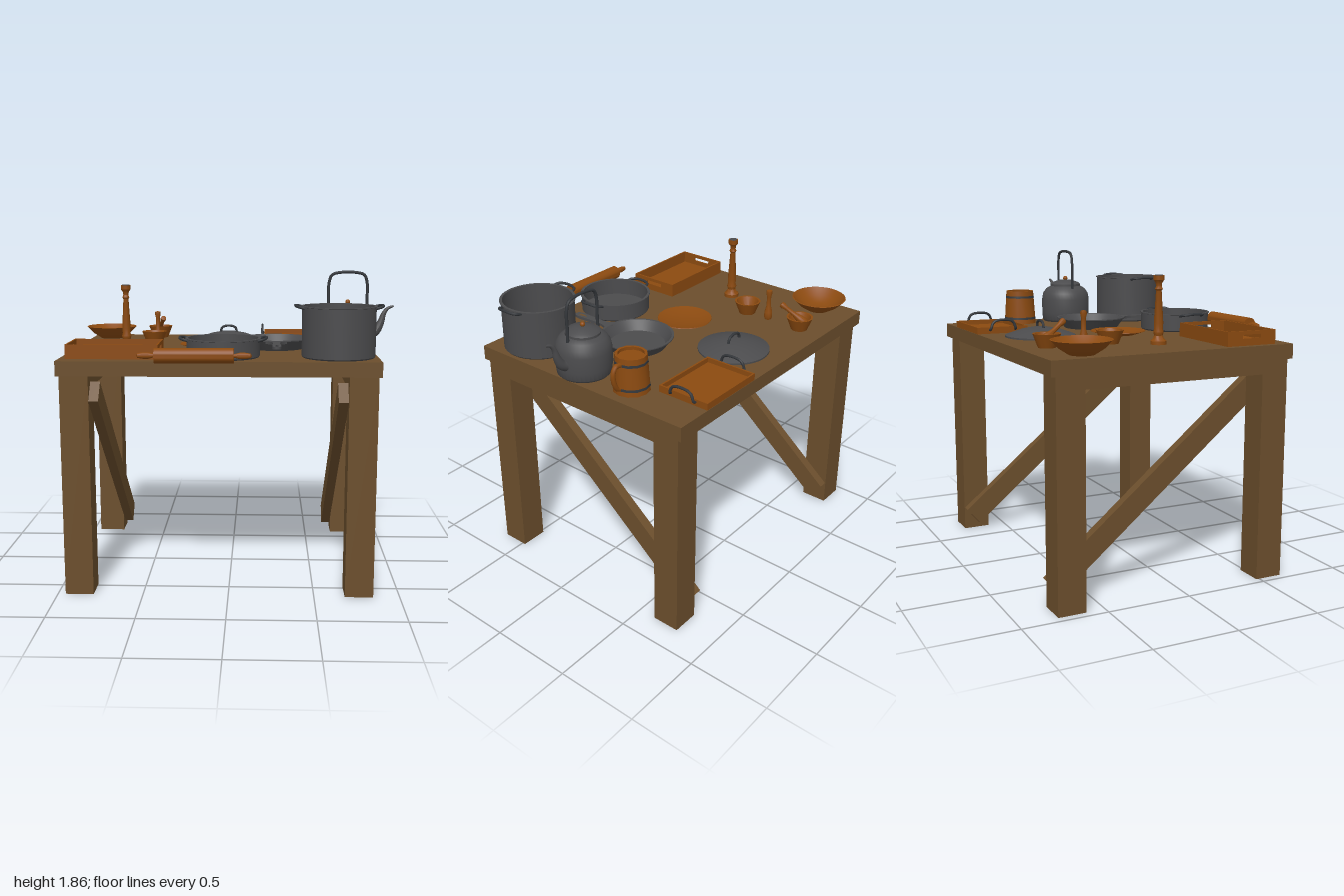
import * as THREE from 'three';
import { toCreasedNormals } from 'three/addons/utils/BufferGeometryUtils.js';

const material = (name, color) => {
  const m = new THREE.MeshStandardMaterial({ color });
  m.name = name;
  return m;
};
const V = (x, y, z) => new THREE.Vector3(x, y, z);

export function createModel() {
  const root = new THREE.Group();
  root.name = 'kitchenTable';
  const timber = material('tableTimber', 0x6b4e2c);
  const orange = material('warmWood', 0x8b4a10);
  const iron = material('castIron', 0x4b4b4d);
  const dark = material('darkMetal', 0x33363a);
  const TOP = 1.38;

  // ---- helpers ----
  const add = (parent, name, geo, mat, x = 0, y = 0, z = 0) => {
    const m = new THREE.Mesh(geo, mat);
    m.name = name;
    m.position.set(x, y, z);
    parent.add(m);
    return m;
  };
  const group = (name, x, z, y = TOP) => {
    const g = new THREE.Group();
    g.name = name;
    g.position.set(x, y, z);
    root.add(g);
    return g;
  };
  const box = (parent, name, mat, [x0, x1], [y0, y1], [z0, z1]) =>
    add(parent, name, new THREE.BoxGeometry(x1 - x0, y1 - y0, z1 - z0), mat,
      (x0 + x1) / 2, (y0 + y1) / 2, (z0 + z1) / 2);
  const lathe = (pts, seg = 40) => toCreasedNormals(
    new THREE.LatheGeometry(pts.map(p => new THREE.Vector2(...p)), seg), 0.6);
  const tube = (pts, r, seg = 32) =>
    new THREE.TubeGeometry(new THREE.CatmullRomCurve3(pts, false, 'centripetal'), seg, r, 8);
  // hollow vessel: base radius, rim radius, height, wall thickness
  const vessel = (rb, rt, h, t) =>
    [[0, 0], [rb, 0], [rt, h], [rt - t, h], [rb - t, t], [0, t]];

  // ---- table ----
  const table = group('table', 0, 0, 0);
  box(table, 'tableTop', timber, [-0.97, 0.86], [1.295, TOP], [-0.805, 0.67]);
  for (const [x0, x1] of [[-0.955, -0.79], [0.68, 0.845]]) {
    box(table, 'frontLeg', timber, [x0, x1], [0, 1.295], [0.48, 0.645]);
    box(table, 'backLeg', timber, [x0, x1], [0, 1.295], [-0.775, -0.61]);
    box(table, 'sideRail', timber, [x0, x1], [1.215, 1.295], [-0.61, 0.48]);
  }
  for (const x of [-0.7625, 0.65]) {
    const brace = add(table, 'diagonalBrace',
      new THREE.BoxGeometry(0.057, 0.131, 1.733), timber, x, 0.6475, -0.062);
    brace.rotation.x = -0.69;
  }

  // ---- bowls and plate ----
  const bowl = (r, h, base) => lathe([[0, 0], [base, 0], [base + (r - base) * 0.55, h * 0.42],
    [r, h * 0.97], [r - 0.006, h], [base + (r - base) * 0.5, h * 0.5], [base * 0.9, 0.012], [0, 0.01]]);
  add(group('wideBowl', -0.837, -0.577), 'wideBowlBody', bowl(0.167, 0.082, 0.07), orange);
  add(group('plate', -0.157, -0.032), 'plateBody', lathe([[0, 0], [0.1, 0], [0.167, 0.022],
    [0.165, 0.026], [0.1, 0.008], [0, 0.006]]), orange);
  const cup = vessel(0.05, 0.08, 0.078, 0.012);
  add(group('smallBowl', -0.51, -0.257), 'smallBowlBody', lathe(cup, 28), orange);
  const mortar = group('mortar', -0.51, -0.64);
  add(mortar, 'mortarBody', lathe(cup, 28), orange);

  // ---- pestles: one leaning in the mortar, one standing ----
  const pestleGeo = lathe([[0, 0], [0.02, 0.003], [0.026, 0.02], [0.024, 0.05], [0.014, 0.09],
    [0.013, 0.15], [0.019, 0.175], [0.017, 0.19], [0, 0.195]], 16);
  const leaning = add(mortar, 'pestle', pestleGeo, orange, -0.018, 0.035, -0.035);
  leaning.quaternion.setFromUnitVectors(V(0, 1, 0), V(0.055, 0.115, 0.165).normalize());
  add(group('standingPestle', -0.505, -0.417), 'pestle', pestleGeo, orange);

  // ---- candlestick ----
  const candle = group('candlestick', -0.66, -0.027);
  add(candle, 'candlestickBody', lathe([[0, 0], [0.045, 0], [0.045, 0.02], [0.032, 0.032],
    [0.024, 0.05], [0.03, 0.07], [0.024, 0.09], [0.027, 0.12], [0.016, 0.3], [0.022, 0.31],
    [0.016, 0.325], [0.019, 0.345], [0.03, 0.36], [0.03, 0.385], [0, 0.385]], 20), orange);
  add(candle, 'candlestickCup', new THREE.CylinderGeometry(0.023, 0.023, 0.004, 20), iron, 0, 0.386, 0);

  // ---- pot lid ----
  const lid = group('potLid', -0.035, -0.49);
  add(lid, 'lidDome', lathe([[0, 0], [0.21, 0], [0.21, 0.01], [0.19, 0.018], [0.12, 0.042],
    [0.06, 0.054], [0, 0.058]]), iron);
  add(lid, 'lidHandle', tube([V(-0.055, 0.045, 0), V(-0.045, 0.08, 0), V(-0.02, 0.092, 0),
    V(0.02, 0.092, 0), V(0.045, 0.08, 0), V(0.055, 0.045, 0)], 0.008), dark);

  // ---- pots with two side loops ----
  const pot = (name, x, z, h) => {
    const g = group(name, x, z);
    add(g, 'potBody', lathe([[0, 0], [0.205, 0], [0.212, 0.008], [0.212, h - 0.008], [0.219, h - 0.006],
      [0.219, h], [0.203, h], [0.203, 0.01], [0, 0.01]], 48), iron);
    for (const s of [-1, 1]) {
      add(g, 'potHandle', tube([V(s * 0.2, h - 0.012, -0.075), V(s * 0.232, h - 0.004, -0.068),
        V(s * 0.248, h, -0.035), V(s * 0.25, h + 0.002, 0), V(s * 0.248, h, 0.035),
        V(s * 0.232, h - 0.004, 0.068), V(s * 0.2, h - 0.012, 0.075)], 0.008), dark);
    }
  };
  pot('shallowPot', -0.035, 0.43, 0.11);
  pot('tallPot', 0.63, 0.43, 0.295);

  // ---- frying pan ----
  const pan = group('fryingPan', 0.275, -0.015);
  add(pan, 'panBody', lathe([[0, 0], [0.17, 0], [0.212, 0.058], [0.218, 0.06], [0.218, 0.066],
    [0.204, 0.066], [0.164, 0.01], [0, 0.01]], 48), iron);
  const grip = new THREE.Shape();
  grip.moveTo(-0.065, 0.2);
  grip.quadraticCurveTo(-0.025, 0.225, -0.02, 0.28);
  grip.lineTo(-0.027, 0.44);
  grip.quadraticCurveTo(-0.027, 0.49, 0, 0.49);
  grip.quadraticCurveTo(0.027, 0.49, 0.027, 0.44);
  grip.lineTo(0.02, 0.28);
  grip.quadraticCurveTo(0.025, 0.225, 0.065, 0.2);
  const hole = new THREE.Path();
  hole.moveTo(0, 0.395);
  hole.lineTo(-0.013, 0.445);
  hole.quadraticCurveTo(0, 0.48, 0.013, 0.445);
  hole.lineTo(0, 0.395);
  grip.holes.push(hole);
  const gripGeo = new THREE.ExtrudeGeometry(grip, { depth: 0.016, bevelEnabled: false });
  add(pan, 'panHandle', gripGeo.rotateX(Math.PI / 2), iron, 0, 0.062, 0);

  // ---- kettle ----
  const kettle = group('kettle', 0.715, -0.005);
  add(kettle, 'kettleBody', lathe([[0, 0], [0.145, 0], [0.155, 0.012], [0.16, 0.06], [0.16, 0.15],
    [0.152, 0.19], [0.13, 0.22], [0.098, 0.238], [0, 0.238]]), iron);
  add(kettle, 'kettleLid', lathe([[0, 0.235], [0.1, 0.235], [0.1, 0.25], [0.085, 0.262],
    [0.04, 0.276], [0, 0.28]]), iron);
  add(kettle, 'lidKnob', new THREE.SphereGeometry(0.015, 16, 10), orange, 0, 0.287, 0);
  add(kettle, 'kettleHandle', tube([V(-0.12, 0.22, 0), V(-0.118, 0.3, 0), V(-0.117, 0.4, 0),
    V(-0.1, 0.45, 0), V(-0.06, 0.465, 0), V(0.06, 0.465, 0), V(0.1, 0.45, 0), V(0.117, 0.4, 0),
    V(0.118, 0.3, 0), V(0.12, 0.22, 0)], 0.009, 60), dark);
  // spout: tube narrowed ring by ring toward the tip
  const path = new THREE.CatmullRomCurve3([V(0.13, 0.09, 0), V(0.175, 0.11, 0), V(0.205, 0.16, 0),
    V(0.225, 0.22, 0), V(0.25, 0.25, 0), V(0.282, 0.262, 0)]);
  const spout = new THREE.TubeGeometry(path, 24, 0.04, 14);
  const p = spout.attributes.position, v = V(0, 0, 0);
  for (let i = 0; i < p.count; i++) {
    const t = Math.floor(i / 15) / 24;
    const c = path.getPointAt(t);
    v.fromBufferAttribute(p, i).sub(c).multiplyScalar(1 - 0.85 * Math.pow(t, 0.75)).add(c);
    p.setXYZ(i, v.x, v.y, v.z);
  }
  spout.computeVertexNormals();
  add(kettle, 'kettleSpout', spout, iron);

  // ---- wooden mug with metal bands ----
  const mug = group('mug', 0.703, -0.342);
  const mugBody = vessel(0.105, 0.09, 0.215, 0.016);
  add(mug, 'mugBody', lathe(mugBody, 12).toNonIndexed(), orange);
  for (const [y, r] of [[0.035, 0.1045], [0.175, 0.0945]]) {
    add(mug, 'mugBand', new THREE.CylinderGeometry(r - 0.001, r + 0.001, 0.014, 12), dark, 0, y, 0);
  }
  // dark floor stays hidden below the band: cover the hollow with a wooden liner
  add(mug, 'mugFloor', new THREE.CylinderGeometry(0.08, 0.08, 0.012, 12), orange, 0, 0.19, 0);
  add(mug, 'mugHandle', tube([V(0.08, 0.175, 0), V(0.125, 0.18, 0), V(0.145, 0.15, 0),
    V(0.14, 0.09, 0), V(0.115, 0.045, 0), V(0.085, 0.035, 0)], 0.014), orange);

  // ---- trays ----
  const tray = (name, x0, x1, z0, z1, h, t, slots) => {
    const g = group(name, 0, 0);
    box(g, 'trayFloor', orange, [x0, x1], [0, 0.012], [z0, z1]);
    box(g, 'trayFrontWall', orange, [x0, x1], [0, h], [z1 - t, z1]);
    box(g, 'trayBackWall', orange, [x0, x1], [0, h], [z0, z0 + t]);
    const w = (z1 - z0) / 2 - t;
    const wall = new THREE.Shape([[-w, 0], [w, 0], [w, h], [-w, h]].map(q => new THREE.Vector2(...q)));
    if (slots) {
      wall.holes.push(new THREE.Path([[-0.06, 0.04], [-0.06, 0.062], [0.06, 0.062], [0.06, 0.04]]
        .map(q => new THREE.Vector2(...q))));
    }
    const geo = new THREE.ExtrudeGeometry(wall, { depth: t, bevelEnabled: false }).rotateY(Math.PI / 2);
    for (const x of [x0, x1 - t]) add(g, 'trayEndWall', geo, orange, x, 0, (z0 + z1) / 2);
    return g;
  };
  tray('boxTray', -0.93, -0.4, 0.26, 0.575, 0.082, 0.011, true);
  const serving = tray('servingTray', 0.205, 0.637, -0.803, -0.48, 0.04, 0.011, false);
  for (const [x, s] of [[0.205, -1], [0.637, 1]]) {
    add(serving, 'trayHandle', tube([V(x, 0.022, -0.725), V(x + s * 0.014, 0.03, -0.722),
      V(x + s * 0.014, 0.065, -0.708), V(x + s * 0.014, 0.08, -0.685), V(x + s * 0.014, 0.08, -0.6),
      V(x + s * 0.014, 0.065, -0.577), V(x + s * 0.014, 0.03, -0.563), V(x, 0.022, -0.56)], 0.008), dark);
  }

  // ---- rolling pin ----
  const pin = group('rollingPin', -0.182, 0.758, 1.425);
  pin.rotation.z = -Math.PI / 2;
  add(pin, 'rollingPinBody', lathe([[0, -0.218], [0.042, -0.218], [0.042, 0.218], [0, 0.218]], 28), orange);
  const knob = lathe([[0, 0.2], [0.011, 0.2], [0.011, 0.225], [0.018, 0.25], [0.018, 0.28],
    [0.013, 0.31], [0, 0.317]], 16);
  for (const s of [0, Math.PI]) add(pin, 'rollingPinGrip', knob, orange).rotation.x = s;

  return root;
}
